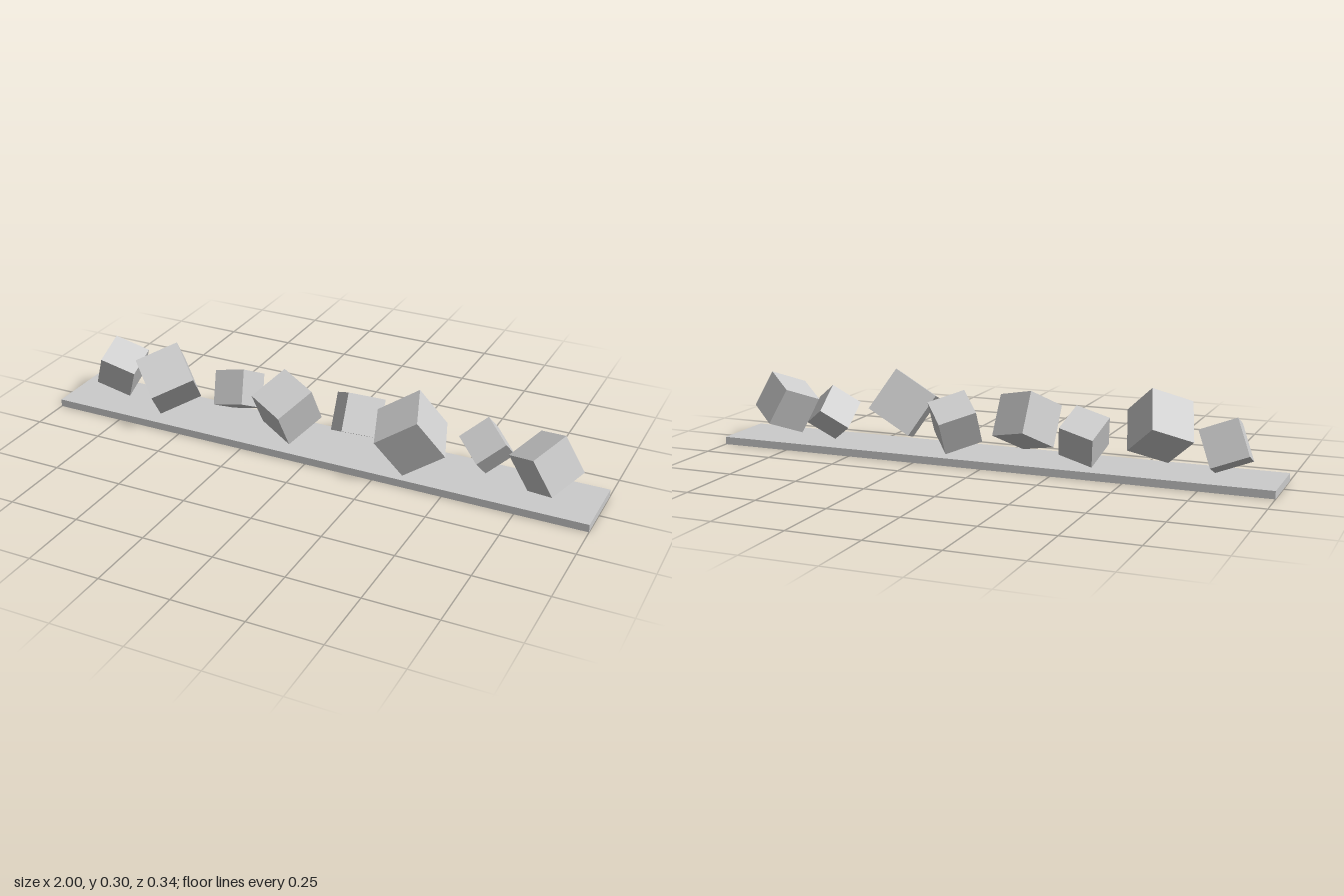
import * as THREE from 'three';

const FLOAT_Y = 0.035; // lowest corner of every tumbling cube

// x, z, size, and the world x and y components of the cube's three edges
const CUBES = [
  [-0.820, -0.041, 0.131, [-2, 23, -9.5], [8, -7, -21.5]],
  [-0.581, 0.029, 0.159, [-19.5, 21.5, -6], [17.5, 10.5, -22]],
  [-0.348, -0.067, 0.124, [-22, -4, 4.5], [-5, 20, -11]],
  [-0.116, 0.013, 0.151, [-25, 13, 0.5], [5, 13, -24.5]],
  [0.123, -0.057, 0.134, [-15.5, -1, 20], [-9.5, 21.5, -8]],
  [0.358, 0.037, 0.169, [-10, 26, 14.5], [8, 17, -26]],
  [0.595, -0.051, 0.117, [-16, 15.5, 1], [10, 12.5, -14]],
  [0.815, 0.000, 0.143, [-20, 13, 12.5], [-8, 9, -23.5]],
];

export function createModel() {
  const group = new THREE.Group();
  const grey = new THREE.MeshStandardMaterial({ color: 0xcccccc });
  grey.name = 'lightGrey';

  // flat board
  const board = new THREE.Mesh(new THREE.BoxGeometry(2, 0.027, 0.242), grey);
  board.name = 'board';
  board.position.set(0, 0.0135, -0.01);
  group.add(board);

  // tilted cubes hovering just above the board
  const unit = new THREE.BoxGeometry(1, 1, 1);
  CUBES.forEach(([x, z, size, ex, ey], i) => {
    const rx = new THREE.Vector3(...ex).normalize();
    const rz = new THREE.Vector3().crossVectors(rx, new THREE.Vector3(...ey)).normalize();
    const ry = new THREE.Vector3().crossVectors(rz, rx);
    const cube = new THREE.Mesh(unit, grey);
    cube.name = `cube${i + 1}`;
    cube.quaternion.setFromRotationMatrix(new THREE.Matrix4().makeBasis(rx, ry, rz).transpose());
    cube.scale.setScalar(size);
    const halfHeight = (Math.abs(ry.x) + Math.abs(ry.y) + Math.abs(ry.z)) * size / 2;
    cube.position.set(x, FLOAT_Y + halfHeight, z);
    group.add(cube);
  });
  return group;
}
